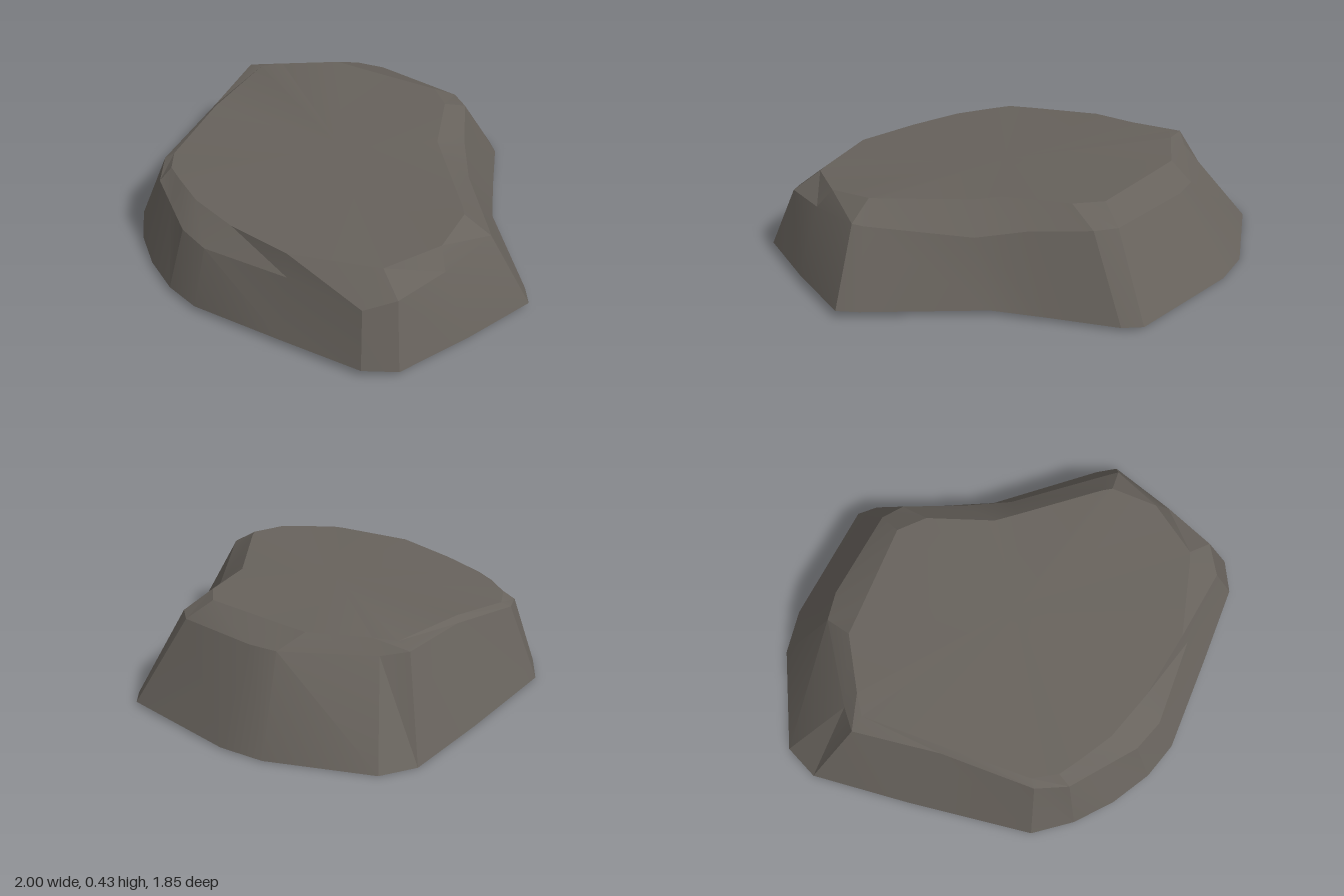
import * as THREE from 'three';
import { toCreasedNormals } from 'three/addons/utils/BufferGeometryUtils.js';

// Ground outline as [x, z]; it sits on a slightly tilted plane
const base = [
  [-0.94, -0.64], [-0.54, -0.88], [-0.34, -0.925], [0.23, -0.915], [0.30, -0.85],
  [0.44, -0.58], [0.56, -0.36], [0.94, 0.03], [1.0, 0.11], [0.90, 0.45],
  [0.78, 0.78], [0.65, 0.86], [0.28, 0.89], [-0.16, 0.92], [-0.33, 0.88],
  [-0.51, 0.79], [-0.67, 0.67], [-0.80, 0.52], [-0.92, -0.04], [-1.0, -0.48],
].map(([x, z]) => [x, 0.015 + 0.012 * x + 0.007 * z, z]);

// Shoulder where the steep sides meet the bevel, as [x, y, z]
const shoulder = [
  [-0.73, 0.37, -0.42], [-0.41, 0.37, -0.68], [-0.28, 0.37, -0.71], [0.14, 0.36, -0.70], [0.23, 0.36, -0.64],
  [0.37, 0.33, -0.40], [0.50, 0.29, -0.22], [0.80, 0.34, 0.13], [0.83, 0.35, 0.17], [0.78, 0.32, 0.45],
  [0.71, 0.30, 0.69], [0.60, 0.26, 0.78], [0.24, 0.27, 0.79], [-0.16, 0.27, 0.83], [-0.31, 0.28, 0.79],
  [-0.46, 0.29, 0.69], [-0.60, 0.31, 0.60], [-0.68, 0.33, 0.47], [-0.73, 0.38, 0.05], [-0.815, 0.39, -0.335],
];

// Rim of the worn top, as [x, y, z]
const rim = [
  [-0.66, 0.42, -0.39], [-0.44, 0.425, -0.55], [-0.30, 0.425, -0.56], [0.09, 0.43, -0.59], [0.20, 0.43, -0.50],
  [0.33, 0.42, -0.22], [0.41, 0.41, -0.14], [0.68, 0.42, 0.15], [0.71, 0.42, 0.19], [0.73, 0.40, 0.40],
  [0.60, 0.375, 0.63], [0.55, 0.375, 0.65], [0.22, 0.365, 0.76], [-0.09, 0.355, 0.73], [-0.33, 0.355, 0.67],
  [-0.49, 0.355, 0.59], [-0.58, 0.355, 0.54], [-0.65, 0.35, 0.44], [-0.70, 0.40, 0.08], [-0.74, 0.41, -0.325],
];

// Skin the rings and close both ends with fans
function loft(rings, topCentre, bottomCentre) {
  const n = rings[0].length;
  const points = [...rings.flat(), topCentre, bottomCentre];
  const top = points.length - 2, bottom = points.length - 1;
  const last = (rings.length - 1) * n;
  const index = [];
  for (let i = 0; i < n; i++) {
    const j = (i + 1) % n;
    for (let r = 0; r < last; r += n) {
      const a = r + i, b = r + j;
      index.push(a, a + n, b + n, a, b + n, b);
    }
    index.push(last + j, last + i, top, i, j, bottom);
  }
  const geometry = new THREE.BufferGeometry();
  geometry.setAttribute('position', new THREE.Float32BufferAttribute(points.flat(), 3));
  geometry.setIndex(index);
  return geometry;
}

export function createModel() {
  const stone = new THREE.MeshStandardMaterial({ color: 0x67625c });
  stone.name = 'warm grey stone';

  // Low, flat-topped boulder with a notch on its back left side
  const geometry = loft([base, shoulder, rim], [0, 0.405, 0.05], [0, 0.015, 0]);
  const rock = new THREE.Mesh(toCreasedNormals(geometry, 0.3), stone);
  rock.name = 'flatRock';

  const group = new THREE.Group();
  group.name = 'rock';
  group.add(rock);
  return group;
}
